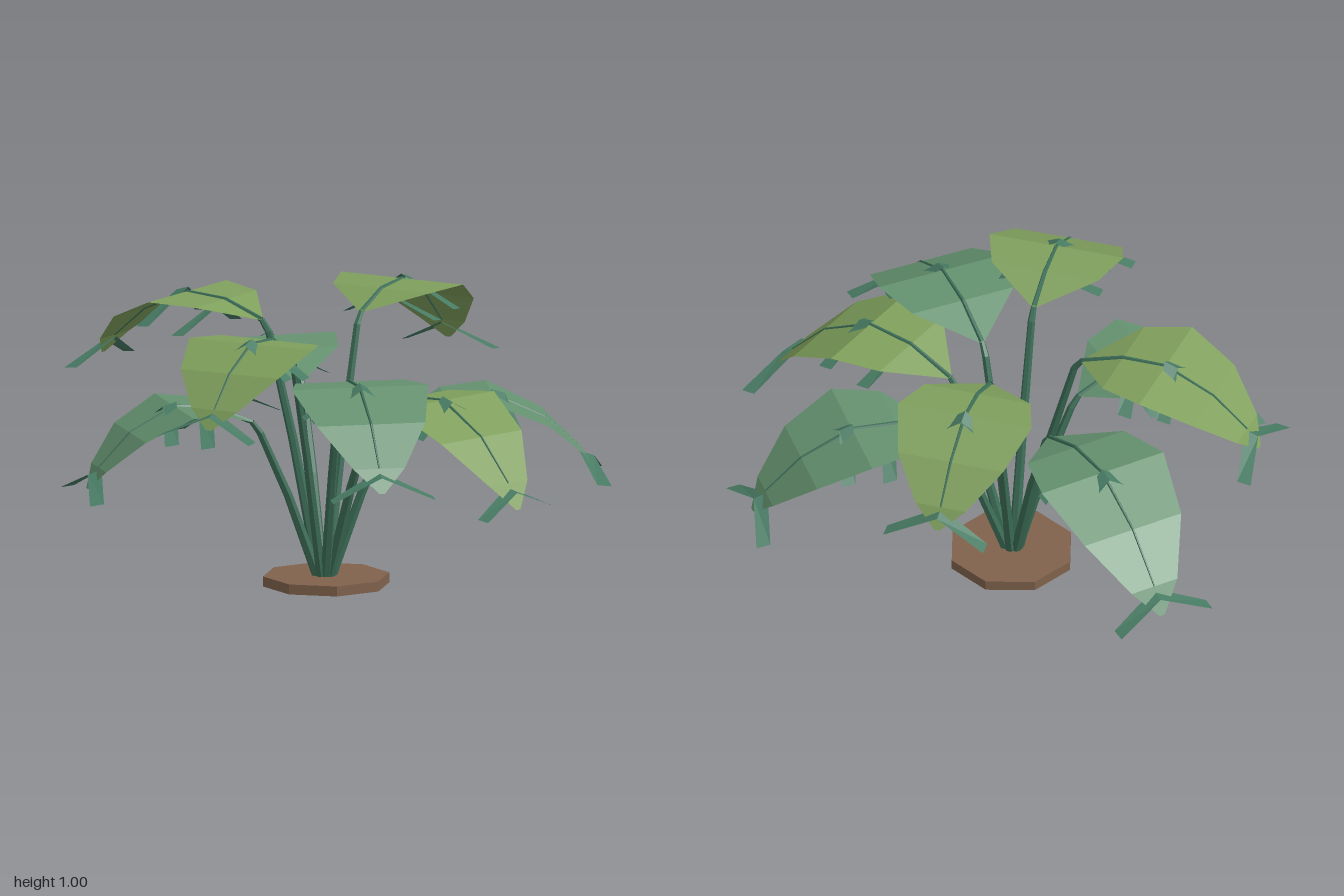
import * as THREE from 'three';

const OLIVE = 0x7f9f5c, TEAL = 0x64916f;
const CENTRE = new THREE.Vector3(-0.01, 0, -0.02);

// x and z of the tip leaflets, peak height, total droop, colour
const LEAVES = [
  [0.83, -0.11, 0.98, 0.26, OLIVE],
  [0.60, -0.83, 0.755, 0.34, TEAL],
  [-0.03, -0.91, 0.965, 0.25, OLIVE],
  [-0.66, -0.53, 0.655, 0.27, TEAL],
  [-0.82, 0.08, 0.935, 0.25, OLIVE],
  [-0.65, 0.67, 0.805, 0.30, TEAL],
  [-0.19, 0.90, 0.73, 0.33, OLIVE],
  [0.58, 0.67, 0.66, 0.27, TEAL],
];

// blade sections: position along the leaf, share of droop, half width
const SECTIONS = [
  [0, 0.26, 0.01], [0.23, 0.04, 0.19], [0.47, 0, 0.24],
  [0.74, 0.31, 0.19], [0.93, 0.74, 0.09], [1, 1, 0.01],
];

// leaflet pairs: position along the leaf, root offset from blade, hang
const LEAFLETS = [[0.28, -0.02, 0.09], [0.5, 0.018, 0.11], [0.955, 0.01, 0.08]];

const material = (color, thin = false) => new THREE.MeshStandardMaterial({
  color, flatShading: true, side: thin ? THREE.DoubleSide : THREE.FrontSide,
});

function mesh(name, geometry, mat) {
  const m = new THREE.Mesh(geometry, mat);
  m.name = name;
  return m;
}

// Surface through rows of points, all rows the same length
function sheet(rows) {
  const n = rows[0].length, index = [];
  for (let i = 0; i < rows.length - 1; i++) {
    for (let j = 0; j < n - 1; j++) {
      const a = i * n + j, b = a + 1, c = a + n, d = c + 1;
      index.push(a, c, b, b, c, d);
    }
  }
  const g = new THREE.BufferGeometry().setFromPoints(rows.flat());
  g.setIndex(index);
  g.computeVertexNormals();
  return g;
}

// Tapered six-sided tube along a list of points
function taperedTube(points, r0, r1, side) {
  const rows = points.map((p, i) => {
    const t = points[Math.min(i + 1, points.length - 1)].clone()
      .sub(points[Math.max(i - 1, 0)]).normalize();
    const normal = side.clone().cross(t).normalize();
    const r = THREE.MathUtils.lerp(r0, r1, i / (points.length - 1));
    return Array.from({ length: 7 }, (_, k) => {
      const a = -k * Math.PI / 3;
      return p.clone().addScaledVector(side, Math.cos(a) * r)
        .addScaledVector(normal, Math.sin(a) * r);
    });
  });
  return sheet(rows);
}

function buildLeaf([tx, tz, peak, droop, color]) {
  const leaf = new THREE.Group();
  leaf.name = 'leaf';
  const out = new THREE.Vector3(tx, 0, tz).sub(CENTRE);
  const reach = out.length();
  out.normalize();
  const side = new THREE.Vector3(-out.z, 0, out.x);
  const start = 0.26, length = (reach - start) / 0.96;

  // point given by distance outwards, height and sideways offset
  const at = (r, y, s = 0) => CENTRE.clone().addScaledVector(out, r)
    .addScaledVector(side, s).setY(y);
  const heightAt = (u) => {
    const i = Math.max(1, SECTIONS.findIndex((s) => s[0] >= u));
    const [a, b] = [SECTIONS[i - 1], SECTIONS[i]];
    const d = THREE.MathUtils.mapLinear(u, a[0], b[0], a[1], b[1]);
    return peak - droop * d;
  };

  // blade, arching along its length
  const rows = SECTIONS.map(([u, d, w]) =>
    [w, 0, -w].map((s) => at(start + u * length, peak - droop * d, s)));
  leaf.add(mesh('blade', sheet(rows), material(color, true)));

  // stem rising from the base to the blade
  const stemTop = at(start, heightAt(0));
  const stem = [at(0.02, 0.02), at(0.13, heightAt(0) * 0.55), at(start - 0.03, heightAt(0) - 0.04), stemTop];
  leaf.add(mesh('stem', taperedTube(stem, 0.019, 0.01, side), material(0x3d6e58, true)));

  // midrib following the blade
  const rib = SECTIONS.slice(0, 5).map(([u]) => at(start + u * length, heightAt(u)));
  leaf.add(mesh('midrib', taperedTube(rib, 0.009, 0.003, side), material(0x3d6e58, true)));

  // hanging leaflet pairs
  for (const [u, lift, hang] of LEAFLETS) {
    const r = start + u * length, y = heightAt(u) + lift;
    for (const s of [-1, 1]) {
      const strip = [-0.025, 0.025].map((w) => [
        at(r + w, y - w * 0.3), at(r + w + 0.045, y - hang - w * 0.1, s * 0.18),
      ]);
      leaf.add(mesh('leaflet', sheet(strip), material(0x477a63, true)));
    }
  }
  return leaf;
}

export function createModel() {
  const model = new THREE.Group();
  model.name = 'pottedPlant';

  // octagonal soil disc
  const base = mesh('base', new THREE.CylinderGeometry(0.22, 0.22, 0.035, 8), material(0x80624c));
  base.position.set(0, 0.0175, -0.02);
  model.add(base);

  for (const spec of LEAVES) model.add(buildLeaf(spec));
  return model;
}
